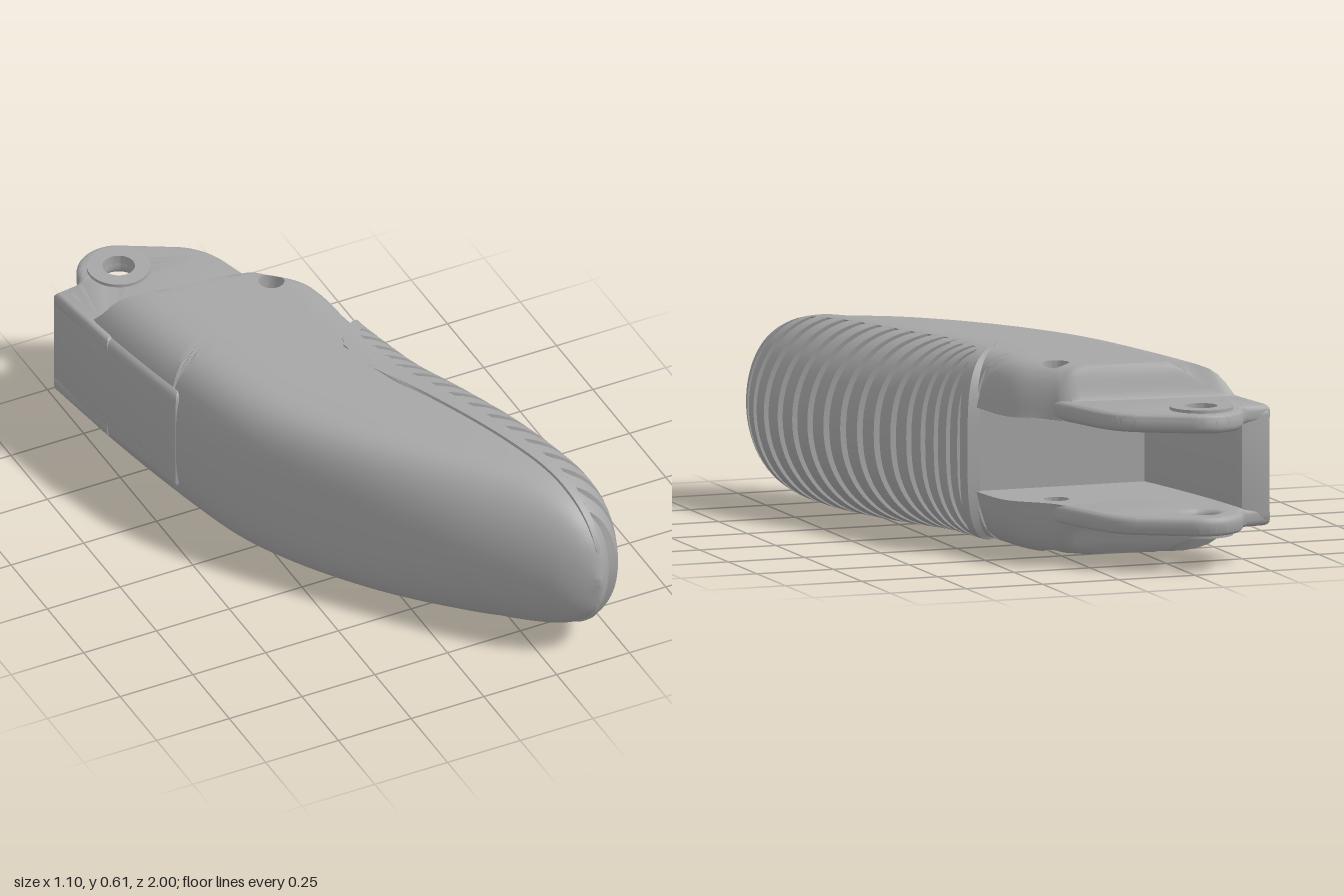
import * as THREE from 'three';
import { toCreasedNormals } from 'three/addons/utils/BufferGeometryUtils.js';

const grey = new THREE.MeshStandardMaterial({ color: 0xa6a6a6, side: THREE.DoubleSide });
grey.name = 'satin grey';

// Smooth value table: pairs of z, value
const table = (...p) => {
  const f = new THREE.CubicInterpolant(p.filter((_, i) => i % 2 === 0), p.filter((_, i) => i % 2), 1);
  return (z) => f.evaluate(z)[0];
};

// Plan outline, half height and corner sharpness along the length
const xLeft = table(-0.85, -0.55, -0.6, -0.52, -0.2, -0.445, 0, -0.39, 0.15, -0.32, 0.4, -0.16,
  0.6, -0.01, 0.8, 0.15, 0.9, 0.24, 0.95, 0.295, 0.98, 0.345, 1, 0.395);
const xRight = table(-0.62, 0.03, -0.57, 0.05, -0.46, 0.155, -0.4, 0.175, -0.25, 0.19, -0.2, 0.2, -0.1, 0.235,
  0, 0.275, 0.2, 0.37, 0.4, 0.45, 0.6, 0.5, 0.7, 0.515, 0.8, 0.51, 0.9, 0.48, 0.95, 0.455, 0.98, 0.43, 1, 0.405);
const xSeam = table(-0.25, 0.03, -0.1, 0.055, 0.05, 0.08, 0.2, 0.15, 0.45, 0.25, 0.65, 0.32,
  0.8, 0.365, 0.9, 0.385, 1, 0.4);
const halfHeight = table(-0.85, 0.295, 0, 0.295, 0.5, 0.295, 0.6, 0.29, 0.7, 0.28, 0.8, 0.255,
  0.9, 0.205, 0.95, 0.155, 0.98, 0.1, 1, 0.01);
const powRight = table(-0.25, 0.6, 0.1, 0.85, 0.6, 1, 1, 1);
const powLeft = table(-0.25, 0.65, 0.4, 0.65, 0.9, 1, 1, 1);

const mesh = (name, geometry) => {
  const m = new THREE.Mesh(geometry, grey);
  m.name = name;
  return m;
};

// Skin a list of closed rings; cap the ends, or join last to first
function loft(rings, join = false) {
  const n = rings[0].length, pos = rings.flat(2), idx = [];
  const rows = join ? rings.length : rings.length - 1;
  for (let i = 0; i < rows; i++) for (let j = 0; j < n; j++) {
    const k = (i + 1) % rings.length, l = (j + 1) % n;
    const a = i * n + j, b = i * n + l, c = k * n + j, d = k * n + l;
    idx.push(a, b, c, b, d, c);
  }
  if (!join) [0, rings.length - 1].forEach((r, end) => {
    const mid = [0, 1, 2].map((k) => rings[r].reduce((s, p) => s + p[k], 0) / n);
    const m = pos.length / 3;
    pos.push(...mid);
    for (let j = 0; j < n; j++) {
      const a = r * n + j, b = r * n + (j + 1) % n;
      idx.push(...(end ? [m, a, b] : [m, b, a]));
    }
  });
  const g = new THREE.BufferGeometry();
  g.setAttribute('position', new THREE.Float32BufferAttribute(pos, 3));
  g.setIndex(idx);
  g.computeVertexNormals();
  return toCreasedNormals(g, 0.65);
}

// Point on the rounded right flank; angle runs from -90 to 90 degrees
function flank(z, a, outX = 0, outY = 0) {
  const p = powRight(z), s = Math.sin(a), r = xRight(z) - xSeam(z) + outX;
  return [xSeam(z) + r * Math.max(0, Math.cos(a)) ** p,
    (halfHeight(z) + outY) * Math.sign(s) * Math.abs(s) ** p, z];
}

function bodySection(z) {
  const ring = [], N = 14, p = powLeft(z), H = halfHeight(z), L = xLeft(z);
  const r = Math.min(0.22 + 0.02 * Math.max(0, z), 0.9 * (xSeam(z) - L));
  for (let i = 0; i <= 2 * N; i++) ring.push(flank(z, (i / N - 1) * Math.PI / 2));
  for (let i = 0; i <= 2 * N; i++) {
    const a = (1 - i / N) * Math.PI / 2, s = Math.sin(a);
    ring.push([L + r * (1 - Math.max(0, Math.cos(a)) ** p), H * Math.sign(s) * Math.abs(s) ** p, z]);
  }
  return ring;
}

// Raised grip patch between two z lines, swept over an angle range
function gripPatch(zStart, zEnd, a0, a1, nz, na) {
  const rings = [];
  for (let i = 0; i <= na; i++) {
    const a = a0 + (a1 - a0) * i / na, c = Math.max(0, Math.cos(a));
    const outer = [], inner = [];
    for (let j = 0; j <= nz; j++) {
      const z = THREE.MathUtils.lerp(zStart(c), zEnd(c), j / nz);
      outer.push(flank(z, a, 0.03, 0.008));
      inner.unshift(flank(z, a, -0.01, -0.012));
    }
    rings.push([...outer, ...inner]);
  }
  return loft(rings);
}

// Upper height of the rear body: rounded sides and a soft step at the back
const backLine = (x) => -0.68 + 0.14 * (x + 0.53);
function rearHeight(x, z) {
  const side = (d, r, p) => {
    if (d >= r) return 0.295;
    const c = (1 - Math.max(0, d) / r) ** (1 / p);
    return 0.295 * Math.sqrt(1 - c * c) ** p;
  };
  const step = 0.185 + 0.11 * THREE.MathUtils.smoothstep(z - backLine(x), 0, 0.06);
  return Math.max(0.13, Math.min(step, side(x - xLeft(z), 0.22, 0.65), side(xRight(z) - x, 0.16, 0.6)));
}

// Rear cheek: rings fan out from the pin hole to the plan outline
function rearCheek() {
  const edge = [], N = 16, hx = 0.01, hz = -0.48, M = 14;
  const zL = backLine(-0.53), zR = backLine(0.04);
  for (let i = 0; i < N; i++) { const z = zL + (-0.25 - zL) * i / N; edge.push([xLeft(z), z]); }
  for (let i = 0; i < N; i++) edge.push([THREE.MathUtils.lerp(xLeft(-0.25), xRight(-0.25), i / N), -0.25]);
  for (let i = 0; i < N; i++) { const z = -0.25 + (zR + 0.25) * i / N; edge.push([xRight(z), z]); }
  for (let i = 0; i < N; i++) {
    const x = THREE.MathUtils.lerp(xRight(zR), xLeft(zL), i / N);
    edge.push([x, backLine(x)]);
  }
  return loft(edge.map(([x, z]) => {
    const a = Math.atan2(z - hz, x - hx), x0 = hx + 0.04 * Math.cos(a), z0 = hz + 0.04 * Math.sin(a);
    const ring = [[x0, 0.13, z0]];
    for (let i = 0; i <= M; i++) {
      const t = 1 - (1 - i / M) ** 2, px = x0 + (x - x0) * t, pz = z0 + (z - z0) * t;
      ring.push([px, rearHeight(px, pz), pz]);
    }
    ring.push([x, 0.13, z]);
    return ring;
  }), true);
}

// Flat plate from a plan shape, between two heights, with rounded rims
function plate(shape, low, high, bevel) {
  const g = new THREE.ExtrudeGeometry(shape, {
    depth: high - low - 2 * bevel, bevelEnabled: bevel > 0, bevelThickness: bevel,
    bevelSize: bevel, bevelOffset: -bevel, bevelSegments: 4, curveSegments: 24,
  });
  g.rotateX(Math.PI / 2).translate(0, high - bevel, 0);
  return toCreasedNormals(g, 0.6);
}

const circle = (x, z, r) => new THREE.Path().absarc(x, z, r, 0, Math.PI * 2, true);

export function createModel() {
  const model = new THREE.Group();
  model.name = 'handle';

  // Solid front body
  const sections = [];
  for (let i = 0; i <= 50; i++) sections.push(bodySection(-0.25 + 1.25 * Math.sin(i / 50 * Math.PI / 2)));
  model.add(mesh('frontBody', loft(sections)));

  // Ribbed grip: border strips, rounded rear end and slanted ribs
  const grip = new THREE.Group();
  grip.name = 'grip';
  const seamEnd = (c) => -0.08 - 0.18 * Math.sqrt(c);
  const reach = Math.acos(0.2), quarter = Math.PI / 2;
  for (const s of [1, -1]) {
    grip.add(mesh('gripBorder', gripPatch(seamEnd, () => 0.98, s * reach, s * quarter, 44, 5)));
  }
  grip.add(mesh('gripEnd', gripPatch(seamEnd, (c) => seamEnd(c) + 0.045, -reach, reach, 3, 32)));
  let z = -0.2;
  while (z < 0.95) {
    const pitch = 0.052 + 0.028 * Math.min(1, Math.max(0, z + 0.2) / 0.7), at = z;
    const line = (offset) => (c) =>
      Math.min(0.985, Math.max(at + offset - 0.06 * (1 - c), seamEnd(c) + 0.02));
    grip.add(mesh('gripRib', gripPatch(line(0), line(pitch * 0.65), -reach - 0.03, reach + 0.03, 2, 32)));
    z += pitch;
  }
  model.add(grip);

  // Upper fork half: cheek, hinge ear and boss; mirrored for the lower half
  const fork = new THREE.Group();
  fork.name = 'upperFork';
  fork.add(mesh('rearCheek', rearCheek()));

  const ear = new THREE.Shape();
  ear.moveTo(-0.515, -0.56);
  ear.lineTo(-0.553, -0.85);
  ear.lineTo(-0.48, -0.86);
  ear.quadraticCurveTo(-0.45, -0.865, -0.445, -0.91);
  ear.absarc(-0.32, -0.87, 0.13, Math.PI * 1.1, Math.PI * 1.7, false);
  ear.lineTo(-0.1, -0.895);
  ear.quadraticCurveTo(-0.03, -0.85, -0.005, -0.76);
  ear.lineTo(0.05, -0.56);
  ear.closePath();
  ear.holes.push(circle(-0.32, -0.87, 0.05));
  fork.add(mesh('hingeEar', plate(ear, 0.13, 0.19, 0.02)));

  const boss = new THREE.Shape().absarc(-0.32, -0.87, 0.098, 0, Math.PI * 2, false);
  boss.holes.push(circle(-0.32, -0.87, 0.05));
  fork.add(mesh('hingeBoss', plate(boss, 0.17, 0.2, 0)));

  const lower = fork.clone();
  lower.name = 'lowerFork';
  lower.scale.y = -1;
  model.add(fork, lower);

  // Spine wall closing the left side of the slot
  const spine = [];
  for (let i = 0; i <= 12; i++) {
    const zs = -0.855 + i * 0.053;
    spine.push(new THREE.Vector2(xLeft(zs), zs));
    spine.unshift(new THREE.Vector2(xLeft(zs) + 0.09, zs));
  }
  model.add(mesh('spineWall', plate(new THREE.Shape(spine), -0.19, 0.19, 0.035)));

  model.position.y = 0.305;
  const root = new THREE.Group();
  root.add(model);
  return root;
}
